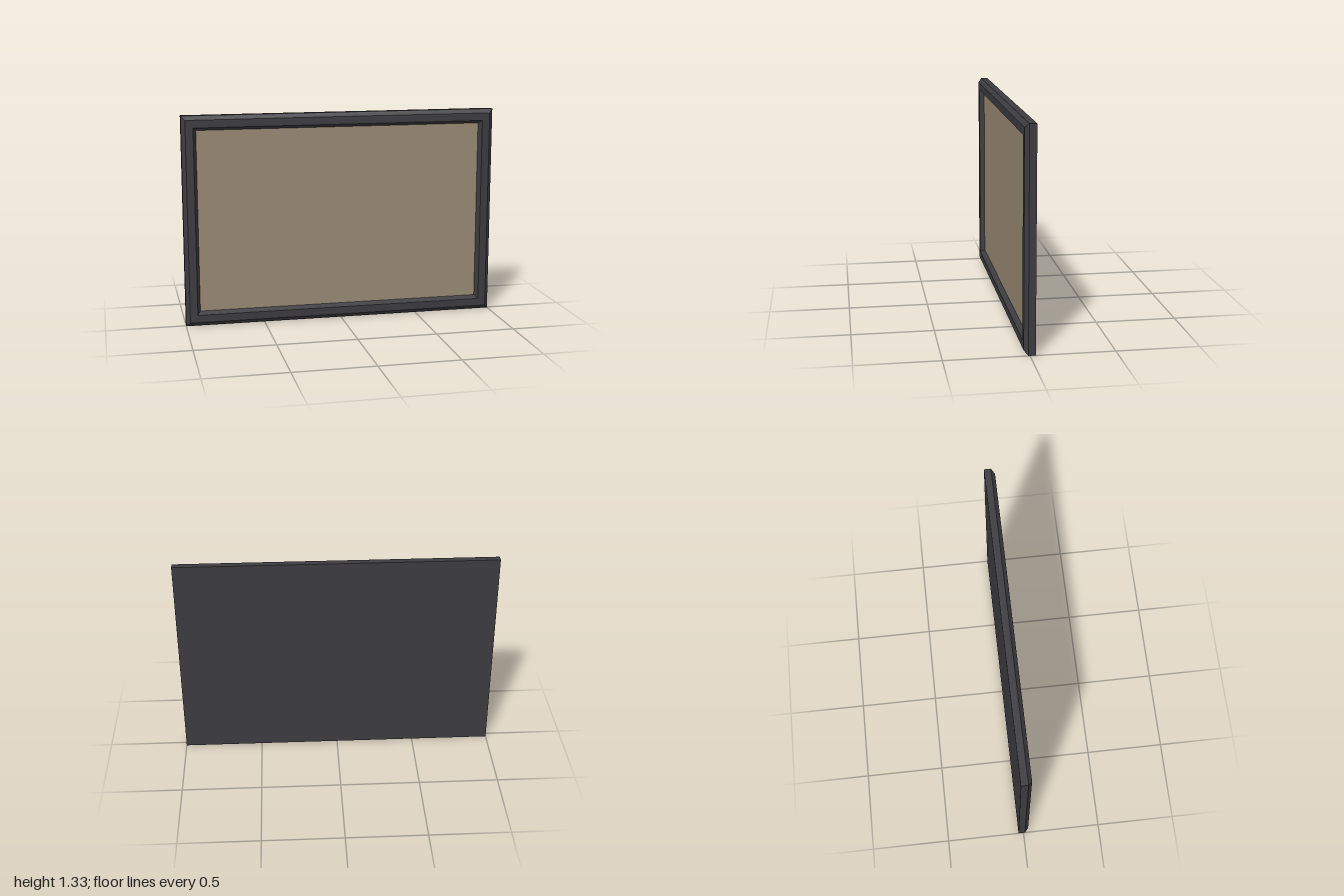
import * as THREE from 'three';

const W = 2, H = 1.333;

// Corners of a rectangle drawn in from the outer edge, counter-clockwise from the front
function ring([inset, z]) {
  const x = W / 2 - inset, y0 = inset, y1 = H - inset;
  return [[-x, y0, z], [x, y0, z], [x, y1, z], [-x, y1, z]];
}

// Mitred moulding: joins successive rectangles with flat faces
function moulding(profile) {
  const pos = [];
  for (let i = 0; i < profile.length - 1; i++) {
    const a = ring(profile[i]), b = ring(profile[i + 1]);
    for (let k = 0; k < 4; k++) {
      const n = (k + 1) % 4;
      pos.push(...a[k], ...a[n], ...b[n], ...a[k], ...b[n], ...b[k]);
    }
  }
  const g = new THREE.BufferGeometry();
  g.setAttribute('position', new THREE.Float32BufferAttribute(pos, 3));
  g.computeVertexNormals();
  return g;
}

export function createModel() {
  const group = new THREE.Group();
  const frameMat = new THREE.MeshStandardMaterial({ color: 0x3c3c41 });
  frameMat.name = 'charcoal';
  const panelMat = new THREE.MeshStandardMaterial({ color: 0x988973 });
  panelMat.name = 'tan';

  const add = (name, geometry, material, y = 0, z = 0) => {
    const mesh = new THREE.Mesh(geometry, material);
    mesh.name = name;
    mesh.position.set(0, y, z);
    group.add(mesh);
    return mesh;
  };

  // Outer side, bevel, front face and sloping inner lip, as [inset, z]
  add('frame', moulding([
    [0, -0.033], [0, 0.01], [0.025, 0.033], [0.073, 0.033], [0.092, 0.002],
  ]), frameMat);

  // Flat back board
  add('back', new THREE.PlaneGeometry(W, H), frameMat, H / 2, -0.033).rotation.y = Math.PI;

  // Recessed picture panel
  add('panel', new THREE.PlaneGeometry(W - 0.184, H - 0.184), panelMat, H / 2, 0.002);

  return group;
}
